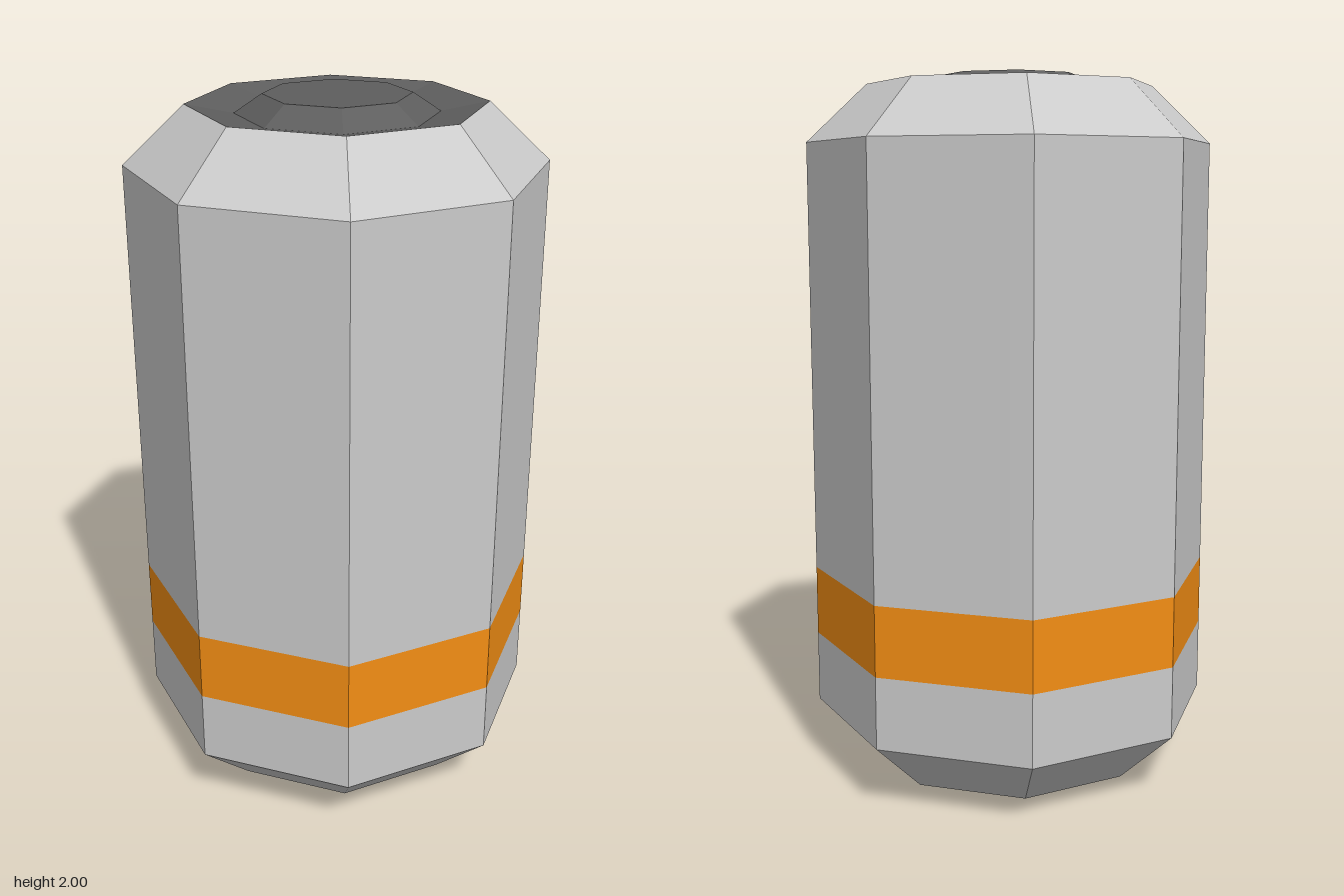
import * as THREE from 'three';

const SIDES = 8;

export function createModel() {
  const group = new THREE.Group();
  const material = (color) => new THREE.MeshStandardMaterial({ color, flatShading: true });
  const grey = material(0xcccccc);
  const orange = material(0xf38e14);
  const dark = material(0x5e5e5e);

  // Revolves an eight-sided profile of [radius, y] points, listed from bottom to top
  function ring(name, points, mat) {
    const profile = points.map(([r, y]) => new THREE.Vector2(r, y));
    const mesh = new THREE.Mesh(new THREE.LatheGeometry(profile, SIDES), mat);
    mesh.name = name;
    group.add(mesh);
  }

  const R = 0.575, rim = 0.405;

  // Shell with chamfered shoulders, split by the coloured band
  ring('lowerShell', [[rim, 0.025], [R, 0.185], [R, 0.39]], grey);
  ring('band', [[R, 0.39], [R, 0.59]], orange);
  ring('upperShell', [[R, 0.59], [R, 1.815], [rim, 1.975]], grey);

  // Dished ends with a raised, tapered boss in the middle
  const cap = [[rim, 1.975], [0.275, 1.95], [0.2, 2], [0, 2]];
  ring('topCap', cap, dark);
  ring('bottomCap', cap.map(([r, y]) => [r, 2 - y]).reverse(), dark);

  return group;
}
